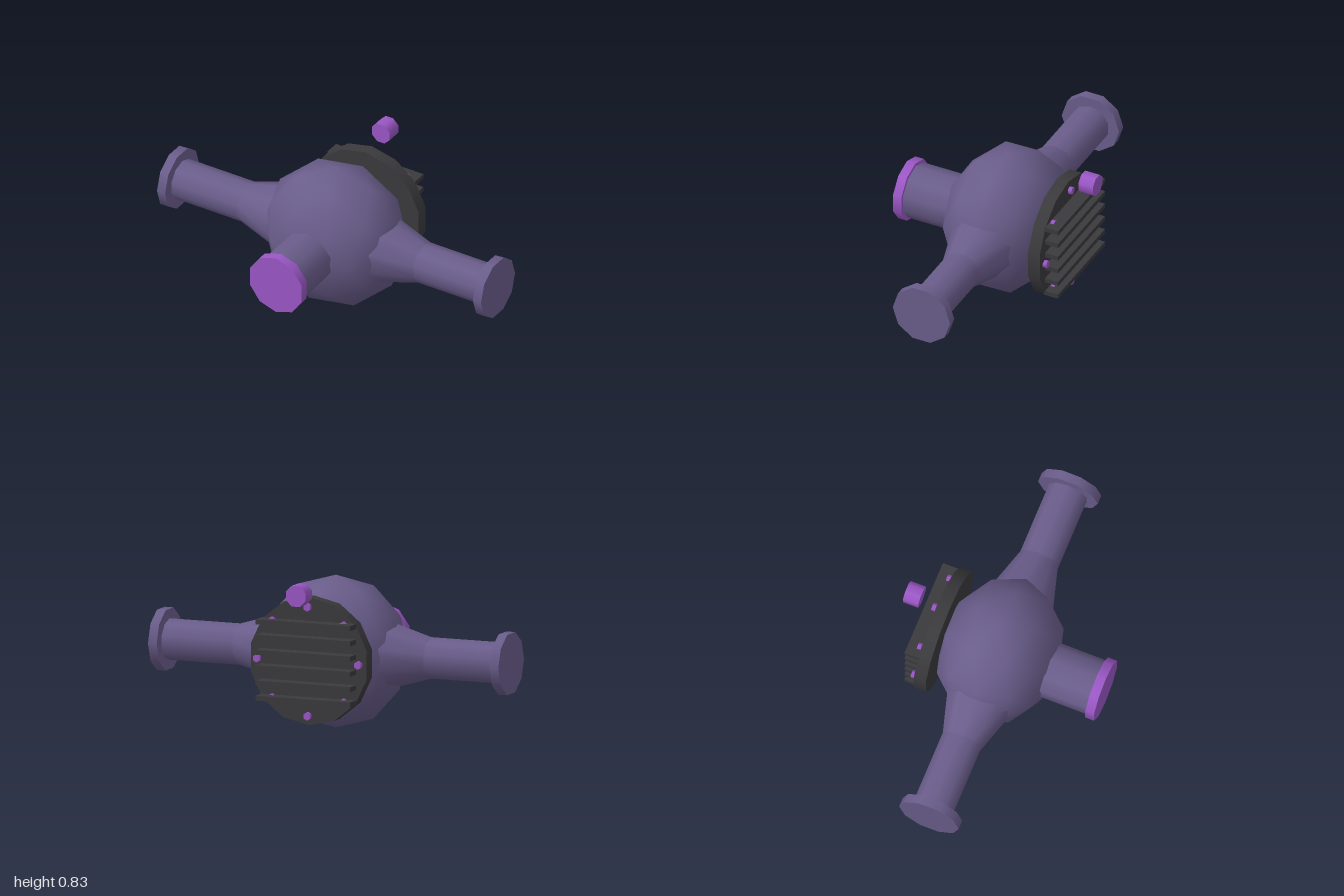
import * as THREE from 'three';

const CY = 0.41, CZ = -0.0335;

export function createModel() {
  const model = new THREE.Group();
  model.name = 'axleHousing';

  const mat = (name, color) => {
    const m = new THREE.MeshStandardMaterial({ color });
    m.name = name;
    return m;
  };
  const casing = mat('mutedViolet', 0x6a5d8b);
  const accent = mat('brightPurple', 0x9b57c6);
  const dark = mat('charcoal', 0x3a3a3d);

  const add = (name, geometry, material, x, y, z) => {
    const mesh = new THREE.Mesh(geometry, material);
    mesh.name = name;
    mesh.position.set(x, y, z);
    model.add(mesh);
    return mesh;
  };

  // Cylinder lying along z, from z0 (back) to z1 (front)
  const alongZ = (name, r, z0, z1, sides, material, x, y, turn = 0) => {
    const g = new THREE.CylinderGeometry(r, r, z1 - z0, sides, 1, false, turn);
    g.rotateX(Math.PI / 2);
    return add(name, g, material, x, y, (z0 + z1) / 2);
  };

  // Cylinder or cone lying along x, radius r0 at inner end x0 and r1 at outer end x1
  const alongX = (name, side, r0, r1, x0, x1, turn = 0) => {
    const g = new THREE.CylinderGeometry(r1, r0, x1 - x0, 10, 1, false, turn);
    g.rotateZ(-side * Math.PI / 2);
    return add(name, g, casing, side * (x0 + x1) / 2, CY, CZ);
  };

  // Faceted central casing with a vertex at the top, flattened front to back
  const bulb = new THREE.IcosahedronGeometry(0.405, 1);
  bulb.rotateZ(-Math.atan(2 / (1 + Math.sqrt(5))));
  bulb.scale(1, 1, 0.8);
  add('centralCasing', bulb, casing, 0, CY, CZ);

  // Axle tubes on both sides: flared root, tube and end flange
  for (const [label, side] of [['left', 1], ['right', -1]]) {
    alongX(label + 'FlaredRoot', side, 0.212, 0.11, 0.2, 0.545, Math.PI / 10);
    alongX(label + 'AxleTube', side, 0.11, 0.11, 0.54, 0.96, Math.PI / 10);
    alongX(label + 'EndFlange', side, 0.168, 0.168, 0.95, 1);
  }

  // Input shaft housing at the front
  alongZ('inputTube', 0.15, 0.05, 0.515, 10, casing, 0, CY);
  alongZ('inputFlange', 0.168, 0.51, 0.56, 10, accent, 0, CY);

  // Rear cover with horizontal cooling fins
  alongZ('rearCover', 0.339, -0.388, -0.32, 14, dark, 0, CY);
  for (let i = 0; i < 6; i++) {
    add('coolingFin', new THREE.BoxGeometry(0.54, 0.026, 0.085), dark,
      0, CY + (i - 2.5) * 0.081, -0.4225);
  }

  // Ring of cover bolts
  for (let i = 0; i < 8; i++) {
    const a = i * Math.PI / 4;
    alongZ('coverBolt', 0.022, -0.415, -0.394, 6, accent,
      0.289 * Math.sin(a), CY + 0.289 * Math.cos(a));
  }

  // Separate filler plug behind the cover
  alongZ('fillerPlug', 0.0595, -0.56, -0.474, 8, accent, 0, 0.78, Math.PI / 8);

  return model;
}
